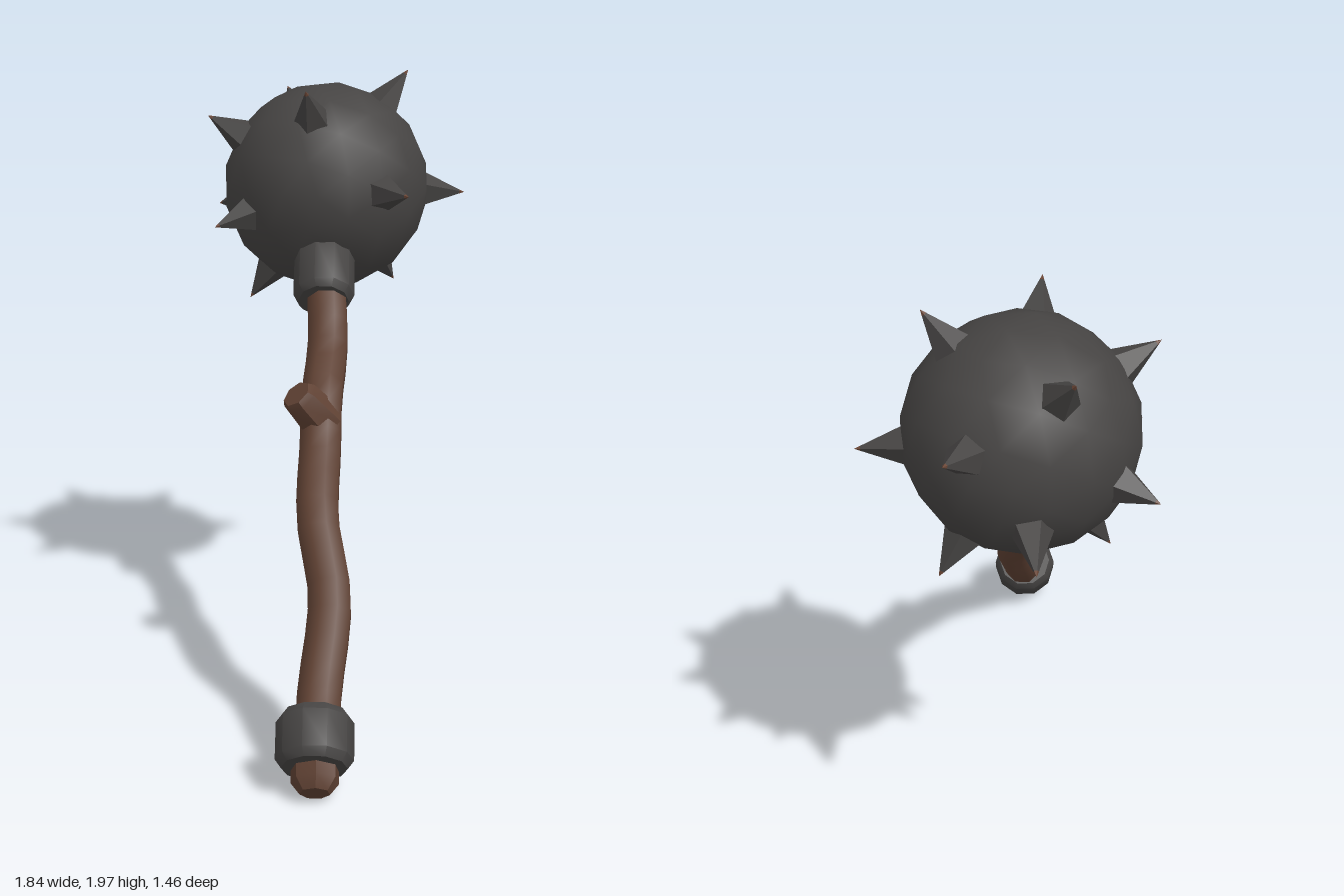
import * as THREE from 'three';
import { toCreasedNormals } from 'three/addons/utils/BufferGeometryUtils.js';

const V = (a) => new THREE.Vector3(...a);

export function createModel() {
  const model = new THREE.Group();
  const mat = (name, color) => {
    const m = new THREE.MeshStandardMaterial({ color });
    m.name = name;
    return m;
  };
  const wood = mat('brown wood', 0x5f4133);
  const iron = mat('dark iron', 0x464443);
  const rust = mat('rust', 0x6a4636);

  const add = (name, geometry, material, parent = model) => {
    const mesh = new THREE.Mesh(geometry, material);
    mesh.name = name;
    parent.add(mesh);
    return mesh;
  };
  // Turn an object's +y axis from one point towards another
  const aim = (object, from, to) => {
    object.position.copy(from);
    object.quaternion.setFromUnitVectors(new THREE.Vector3(0, 1, 0), to.clone().sub(from).normalize());
    return object;
  };
  // Solid turned from [radius, height] points, with its sharper edges kept
  const turned = (profile, sides, crease = 0.7) =>
    toCreasedNormals(new THREE.LatheGeometry(profile.map((p) => new THREE.Vector2(...p)), sides), crease);

  // Crooked wooden shaft
  const path = [
    [-0.8, 0.14, 0.62], [-0.68, 0.255, 0.54], [-0.49, 0.48, 0.44], [-0.375, 0.68, 0.31],
    [-0.19, 0.865, 0.185], [-0.11, 0.98, 0.13], [0.06, 1.115, 0.03], [0.165, 1.27, -0.05], [0.26, 1.38, -0.13],
  ].map(V);
  const curve = new THREE.CatmullRomCurve3(path);
  add('shaft', new THREE.TubeGeometry(curve, 20, 0.07, 8), wood);

  // Butt end sticking out below the lower collar
  const butt = turned([[0, 0], [0.045, 0], [0.072, 0.035], [0.072, 0.16]], 7);
  aim(add('buttEnd', butt, wood), V([-0.875, 0.055, 0.668]), V([-0.78, 0.17, 0.6]));

  // Stub of a cut branch
  const stub = turned([[0.075, 0], [0.062, 0.13], [0.05, 0.15], [0, 0.15]], 7);
  aim(add('branchStub', stub, wood), V([-0.14, 0.92, 0.16]), V([-0.235, 1.03, 0.122]));

  // Iron collars with bevelled rims
  const collar = (r, h) => turned(
    [[0.05, 0], [r - 0.018, 0], [r, 0.025], [r, h - 0.025], [r - 0.018, h], [0.05, h]], 10);
  aim(add('lowerCollar', collar(0.115, 0.165), iron), V([-0.84, 0.112, 0.64]), V([-0.74, 0.228, 0.57]));
  aim(add('upperCollar', collar(0.103, 0.22), iron), V([0.14, 1.255, -0.045]), V([0.45, 1.6, -0.26]));

  // Ball head
  const centre = V([0.45, 1.6, -0.26]);
  add('ballHead', new THREE.IcosahedronGeometry(0.36, 2), iron).position.copy(centre);

  // Five-sided spikes, each given by its point
  const tips = [
    [0.14, 1.95, -0.12], [0.63, 2.0, -0.04], [0.92, 1.72, -0.33], [0.76, 1.23, -0.18],
    [0, 1.49, -0.4], [0.28, 1.2, -0.47], [0.28, 1.61, 0.2], [0.77, 1.57, 0.11],
    [0.79, 1.38, -0.55], [0.43, 1.5, -0.73], [0.64, 1.92, -0.575], [0.14, 1.85, -0.54],
  ];
  const base = 0.31;
  const body = turned([[0.078, 0], [0.008, 0.163]], 5, 0.3);
  const point = turned([[0.008, 0], [0, 0.018]], 5, 0.3);
  tips.map(V).forEach((tip) => {
    const spike = new THREE.Group();
    spike.name = 'spike';
    aim(spike, centre, tip);
    const scale = (tip.distanceTo(centre) - base) / 0.181;
    add('spikeBody', body, iron, spike).position.y = base;
    add('spikePoint', point, rust, spike).position.y = base + 0.163 * scale;
    spike.children.forEach((part) => { part.scale.y = scale; });
    model.add(spike);
  });

  return model;
}
